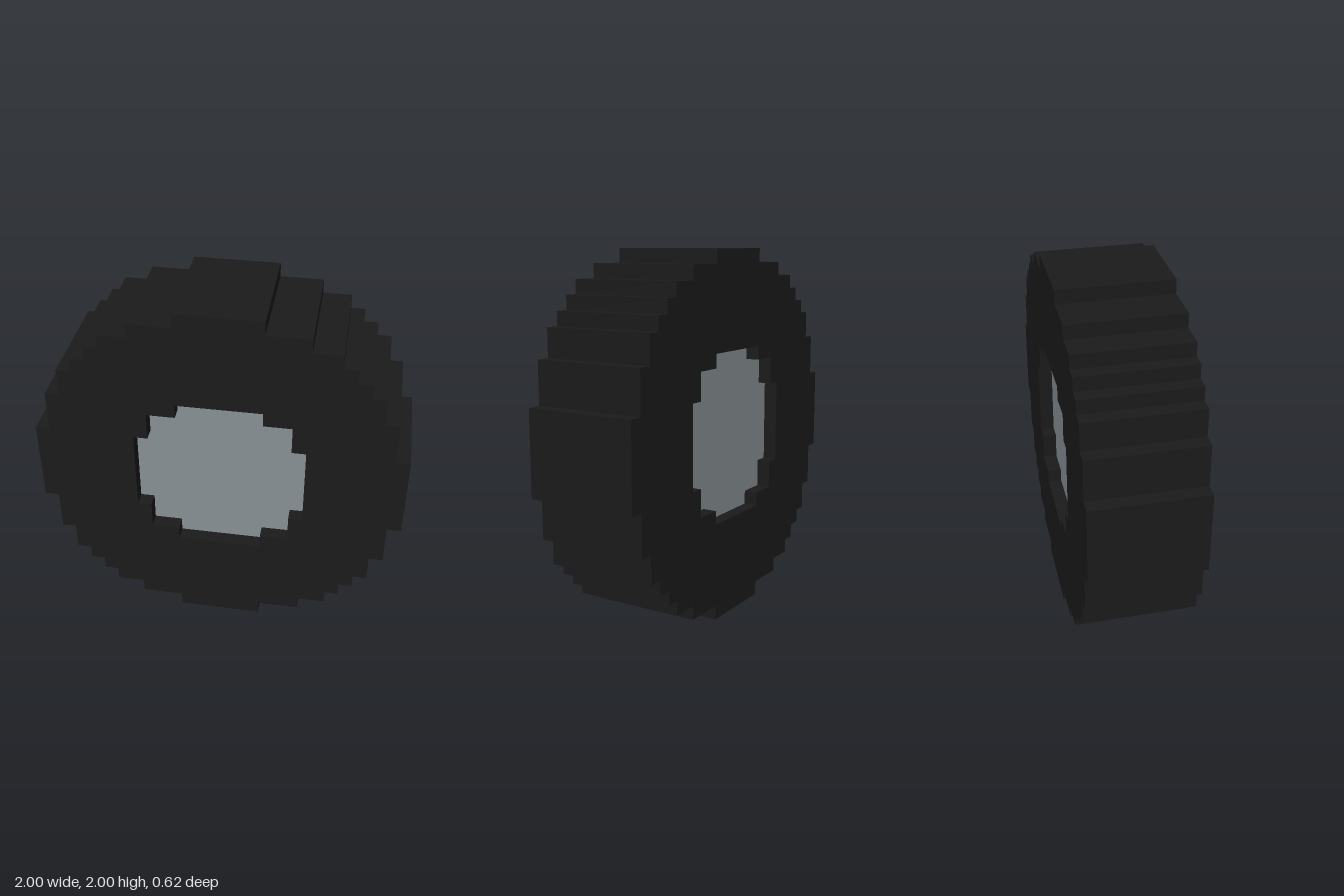
import * as THREE from 'three';

const U = 1 / 13; // one block

// Stepped circle outline (clockwise) from one quadrant of [x, y] outer corners, in blocks
function steppedOutline(corners) {
  const quadrant = [];
  corners.forEach(([x, y], i) => {
    quadrant.push([x, y]);
    if (i < corners.length - 1) quadrant.push([x, corners[i + 1][1]]);
  });
  const mirrored = [...quadrant].reverse();
  return [
    ...quadrant,
    ...mirrored.map(([x, y]) => [x, -y]),
    ...quadrant.map(([x, y]) => [-x, -y]),
    ...mirrored.map(([x, y]) => [-x, y]),
  ].map(([x, y]) => new THREE.Vector2(x * U, y * U));
}

function extrude(shape, blocks) {
  const geometry = new THREE.ExtrudeGeometry(shape, { depth: blocks * U, bevelEnabled: false });
  return geometry.translate(0, 1, -blocks * U / 2);
}

export function createModel() {
  const rubber = new THREE.MeshStandardMaterial({ color: 0x1b1b1b });
  rubber.name = 'black rubber';
  const metal = new THREE.MeshStandardMaterial({ color: 0x889095 });
  metal.name = 'grey metal';

  // Both outlines run counter-clockwise, the bore is reversed where it is a hole
  const rim = steppedOutline([[3, 13], [6, 12], [8, 11], [9, 10], [10, 9], [11, 8], [12, 6], [13, 3]]).reverse();
  const bore = steppedOutline([[3, 6], [5, 5], [6, 3]]).reverse();

  // Tyre ring, eight blocks wide
  const tyreShape = new THREE.Shape(rim);
  tyreShape.holes.push(new THREE.Path([...bore].reverse()));
  const tyre = new THREE.Mesh(extrude(tyreShape, 8), rubber);
  tyre.name = 'tyre';

  // Hub, recessed one block on each side
  const hub = new THREE.Mesh(extrude(new THREE.Shape(bore), 6), metal);
  hub.name = 'hub';

  const wheel = new THREE.Group();
  wheel.name = 'wheel';
  wheel.add(tyre, hub);
  return wheel;
}
